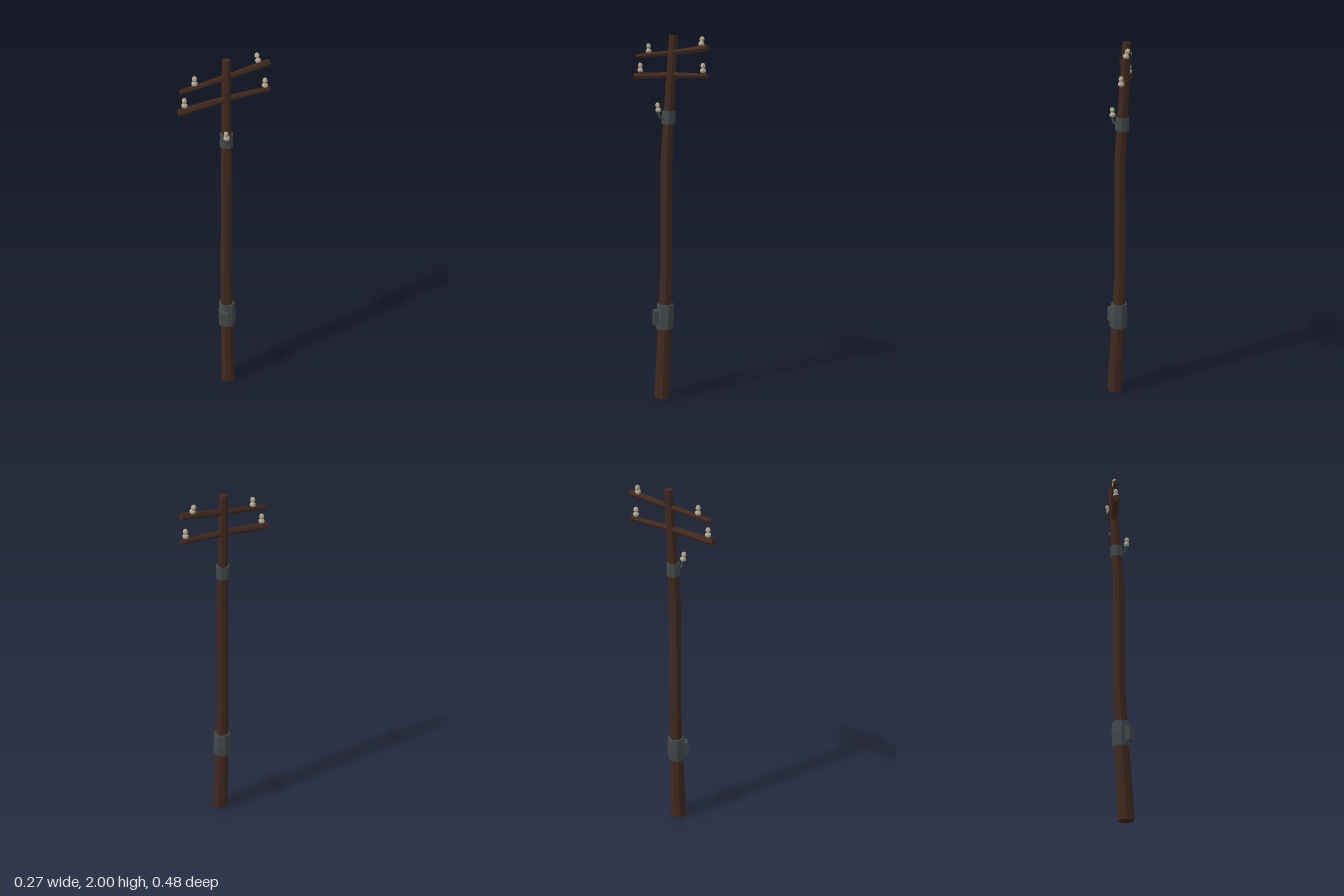
import * as THREE from 'three';

const mat = (name, color, flat = true) => {
  const m = new THREE.MeshStandardMaterial({ color, flatShading: flat });
  m.name = name;
  return m;
};

// Faceted, capped beam through rings given as [x, y, z, radius]
function beam(rings, sides, turn = 0) {
  const pts = rings.map(r => new THREE.Vector3(r[0], r[1], r[2]));
  const axis = pts[pts.length - 1].clone().sub(pts[0]).normalize();
  const ref = Math.abs(axis.y) > 0.9 ? new THREE.Vector3(0, 0, 1) : new THREE.Vector3(0, 1, 0);
  const u = ref.clone().cross(axis).normalize();
  const v = axis.clone().cross(u);
  const pos = [], idx = [];
  pts.forEach((p, k) => {
    for (let i = 0; i < sides; i++) {
      const a = turn + (i / sides) * Math.PI * 2, r = rings[k][3];
      const q = p.clone().addScaledVector(u, Math.cos(a) * r).addScaledVector(v, Math.sin(a) * r);
      pos.push(q.x, q.y, q.z);
    }
  });
  for (let k = 0; k < pts.length - 1; k++) {
    for (let i = 0; i < sides; i++) {
      const j = (i + 1) % sides, a = k * sides, b = a + sides;
      idx.push(a + i, a + j, b + j, a + i, b + j, b + i);
    }
  }
  const last = (pts.length - 1) * sides;
  for (let i = 1; i < sides - 1; i++) {
    idx.push(0, i + 1, i);
    idx.push(last, last + i, last + i + 1);
  }
  const g = new THREE.BufferGeometry();
  g.setAttribute('position', new THREE.Float32BufferAttribute(pos, 3));
  g.setIndex(idx);
  g.computeVertexNormals();
  return g;
}

export function createModel() {
  const wood = mat('dark wood', 0x40291f);
  const metal = mat('grey metal', 0x44484a);
  const ceramic = mat('cream ceramic', 0xb8ab94);

  const model = new THREE.Group();
  model.name = 'utilityPole';
  const add = (name, geometry, material, parent = model) => {
    const m = new THREE.Mesh(geometry, material);
    m.name = name;
    parent.add(m);
    return m;
  };

  // Slightly bowed, tapering pole
  add('pole', beam([
    [0.052, 0, 0.037, 0.043], [0.031, 0.5, 0.025, 0.036], [0.024, 0.7, 0.02, 0.033],
    [0.024, 1.35, 0.017, 0.032], [0.015, 1.57, 0.008, 0.028], [-0.002, 2, -0.014, 0.023],
  ], 8, 0.3), wood);

  // Two uneven crossarms
  add('upperCrossarm', beam([
    [-0.114, 1.879, 0.218, 0.013], [0.002, 1.908, -0.01, 0.016], [0.11, 1.94, -0.229, 0.019],
  ], 6), wood);
  add('lowerCrossarm', beam([
    [-0.117, 1.77, 0.23, 0.02], [0.004, 1.791, -0.005, 0.017], [0.119, 1.797, -0.227, 0.013],
  ], 6), wood);

  // Metal collars around the pole
  add('upperCollar', beam([
    [0.017, 1.53, 0.01, 0.037], [0.015, 1.6, 0.007, 0.036],
  ], 8, 0.3), metal);
  add('lowerCollar', beam([
    [0.034, 0.395, 0.028, 0.048], [0.031, 0.46, 0.025, 0.051], [0.029, 0.535, 0.023, 0.046],
  ], 7, 0.2), metal);

  // Small box fixed to the lower collar
  const box = add('junctionBox', new THREE.BoxGeometry(0.045, 0.08, 0.04), metal);
  box.position.set(0.051, 0.46, 0.067);
  box.rotation.set(-0.04, 0.45, 0, 'YXZ');

  // Insulators: a pin, a two-bell ceramic body and a small tip
  const profile = [
    [0, 0.006], [0.012, 0.006], [0.016, 0.013], [0.015, 0.022], [0.009, 0.027], [0.009, 0.032],
    [0.013, 0.037], [0.012, 0.047], [0.007, 0.055], [0, 0.057],
  ].map(p => new THREE.Vector2(...p));
  const body = new THREE.LatheGeometry(profile, 10);
  const pin = new THREE.CylinderGeometry(0.006, 0.006, 0.03, 6);
  const tip = new THREE.CylinderGeometry(0.003, 0.003, 0.004, 6);
  [
    ['upperFrontInsulator', -0.08, 1.894, 0.146, 0, 0],
    ['upperRearInsulator', 0.079, 1.943, -0.182, -0.05, 0.33],
    ['lowerFrontInsulator', -0.103, 1.788, 0.2, 0, 0.02],
    ['lowerRearInsulator', 0.107, 1.807, -0.2, 0, 0],
    ['sideInsulator', 0.052, 1.591, 0.053, 0.16, 0],
  ].forEach(([name, x, y, z, rx, rz]) => {
    const g = new THREE.Group();
    g.name = name;
    g.position.set(x, y, z);
    g.rotation.set(rx, 0, rz);
    add('insulatorBody', body, ceramic, g);
    add('insulatorPin', pin, metal, g).position.y = -0.004;
    add('insulatorTip', tip, metal, g).position.y = 0.057;
    model.add(g);
  });

  // Curved bracket carrying the side insulator
  const hook = new THREE.CatmullRomCurve3([
    new THREE.Vector3(0.025, 1.56, 0.018), new THREE.Vector3(0.044, 1.562, 0.042),
    new THREE.Vector3(0.051, 1.574, 0.05), new THREE.Vector3(0.052, 1.595, 0.053),
  ]);
  add('sideBracket', new THREE.TubeGeometry(hook, 8, 0.007, 6), metal);

  return model;
}
